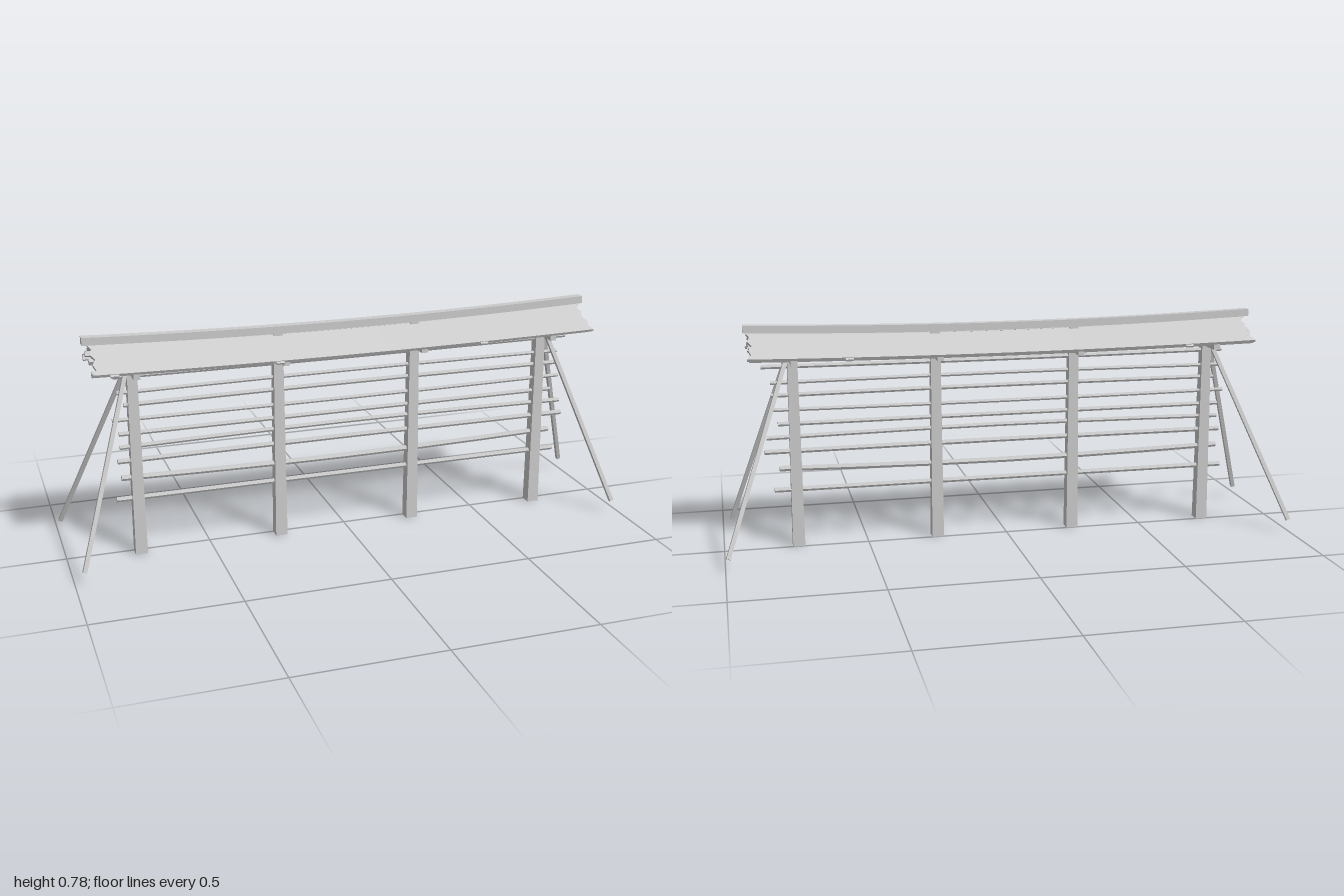
import * as THREE from 'three';

const MID_Z = 0.02; // plane of the rack
const material = new THREE.MeshStandardMaterial({ color: 0xcccccc, flatShading: true, side: THREE.DoubleSide });

function add(parent, name, geometry, x = 0, y = 0, z = 0) {
  const mesh = new THREE.Mesh(geometry, material);
  mesh.name = name;
  mesh.position.set(x, y, z);
  parent.add(mesh);
  return mesh;
}

// Moves every vertex by a rule
function deform(geometry, rule) {
  const p = geometry.attributes.position;
  const v = new THREE.Vector3();
  for (let i = 0; i < p.count; i++) {
    v.fromBufferAttribute(p, i);
    rule(v);
    p.setXYZ(i, v.x, v.y, v.z);
  }
  geometry.computeVertexNormals();
  return geometry;
}

// The roof hangs lower in the middle
const sag = (x, amount = 0.018) => -amount * Math.max(0, 1 - (x / 0.9) ** 2);

// Square bar between two points
function strut(parent, name, a, b, width) {
  const mesh = add(parent, name, new THREE.BoxGeometry(width, a.distanceTo(b), width));
  mesh.position.copy(a).add(b).multiplyScalar(0.5);
  mesh.quaternion.setFromUnitVectors(new THREE.Vector3(0, 1, 0), b.clone().sub(a).normalize());
}

export function createModel() {
  const model = new THREE.Group();
  model.name = 'dryingRack';

  // Tapered square posts, open underneath, each with a crossbeam
  for (const x of [-0.748, -0.246, 0.251, 0.744]) {
    const post = new THREE.CylinderGeometry(0.0165 * Math.SQRT2, 0.021 * Math.SQRT2, 0.742, 4, 1, true);
    post.rotateY(Math.PI / 4);
    add(model, 'post', post, x, 0.371, MID_Z);
    add(model, 'crossbeam', new THREE.BoxGeometry(0.022, 0.026, 0.23), x, 0.669, MID_Z);
  }

  // Rails: [height, left end, right end, radius, bend]
  const rails = [
    [0.203, -0.82, 0.82, 0.009, 0], [0.279, -0.8, 0.8, 0.01, -0.012],
    [0.34, -0.81, 0.85, 0.009, 0.002], [0.39, -0.8, 0.84, 0.008, 0.008],
    [0.437, -0.8, 0.8, 0.008, 0], [0.487, -0.82, 0.83, 0.007, -0.003],
    [0.538, -0.78, 0.82, 0.008, 0.003], [0.582, -0.8, 0.82, 0.007, 0.004],
    [0.638, -0.81, 0.85, 0.008, -0.003],
  ];
  for (const [y, x0, x1, radius, bend] of rails) {
    const rail = new THREE.CylinderGeometry(radius, radius, x1 - x0, 6, 6).rotateZ(Math.PI / 2);
    deform(rail, v => { v.y += bend * Math.cos(v.x * 2); });
    add(model, 'rail', rail, (x0 + x1) / 2, y, MID_Z);
  }

  // Diagonal braces at the four corners
  for (const sx of [-1, 1]) {
    for (const sz of [-1, 1]) {
      const foot = new THREE.Vector3(sx * (sz > 0 ? 0.968 : 0.99), 0.048, sz * 0.233);
      strut(model, 'brace', new THREE.Vector3(sx * 0.768, 0.655, MID_Z + sz * 0.009), foot, 0.014);
    }
  }

  // Two roof slopes with worn ends, purlins below and stray laths at the eaves
  const slopeAngle = 0.482;
  const slopeLength = 0.146;
  const inset = [0, 0.014, 0.006, 0.018, 0.004, 0.012, 0];
  for (const side of [-1, 1]) {
    const slope = new THREE.Group();
    slope.name = side > 0 ? 'frontRoof' : 'backRoof';
    slope.position.set(0, 0.757, MID_Z);
    slope.rotation.x = side * slopeAngle;
    model.add(slope);

    const sheet = new THREE.BoxGeometry(1.785, 0.009, slopeLength, 16, 1, 6);
    deform(sheet, v => {
      const row = Math.round((v.z / slopeLength + 0.5) * 6);
      if (Math.abs(v.x) > 0.88) v.x -= Math.sign(v.x) * inset[v.x > 0 ? row : 6 - row];
      v.y += sag(v.x, 0.013);
    });
    add(slope, 'roofSheet', sheet, 0.004, -0.005, side * slopeLength / 2);

    for (const d of [0.064, 0.123]) {
      const purlin = new THREE.BoxGeometry(1.78, 0.016, 0.016, 12);
      deform(purlin, v => { v.y += sag(v.x, 0.013); });
      add(slope, 'purlin', purlin, 0, -0.018, side * d);
    }

    for (const x of side > 0 ? [-0.82, -0.27, 0.47] : [-0.64, 0.56]) {
      add(slope, 'eaveLath', new THREE.BoxGeometry(0.028, 0.007, 0.03), x, -0.006 + sag(x, 0.013), side * 0.14);
    }
  }

  // Sagging ridge beam
  const ridge = new THREE.BoxGeometry(1.81, 0.026, 0.032, 16);
  deform(ridge, v => { v.y += sag(v.x); });
  add(model, 'ridgeBeam', ridge, 0, 0.771, MID_Z);

  return model;
}
